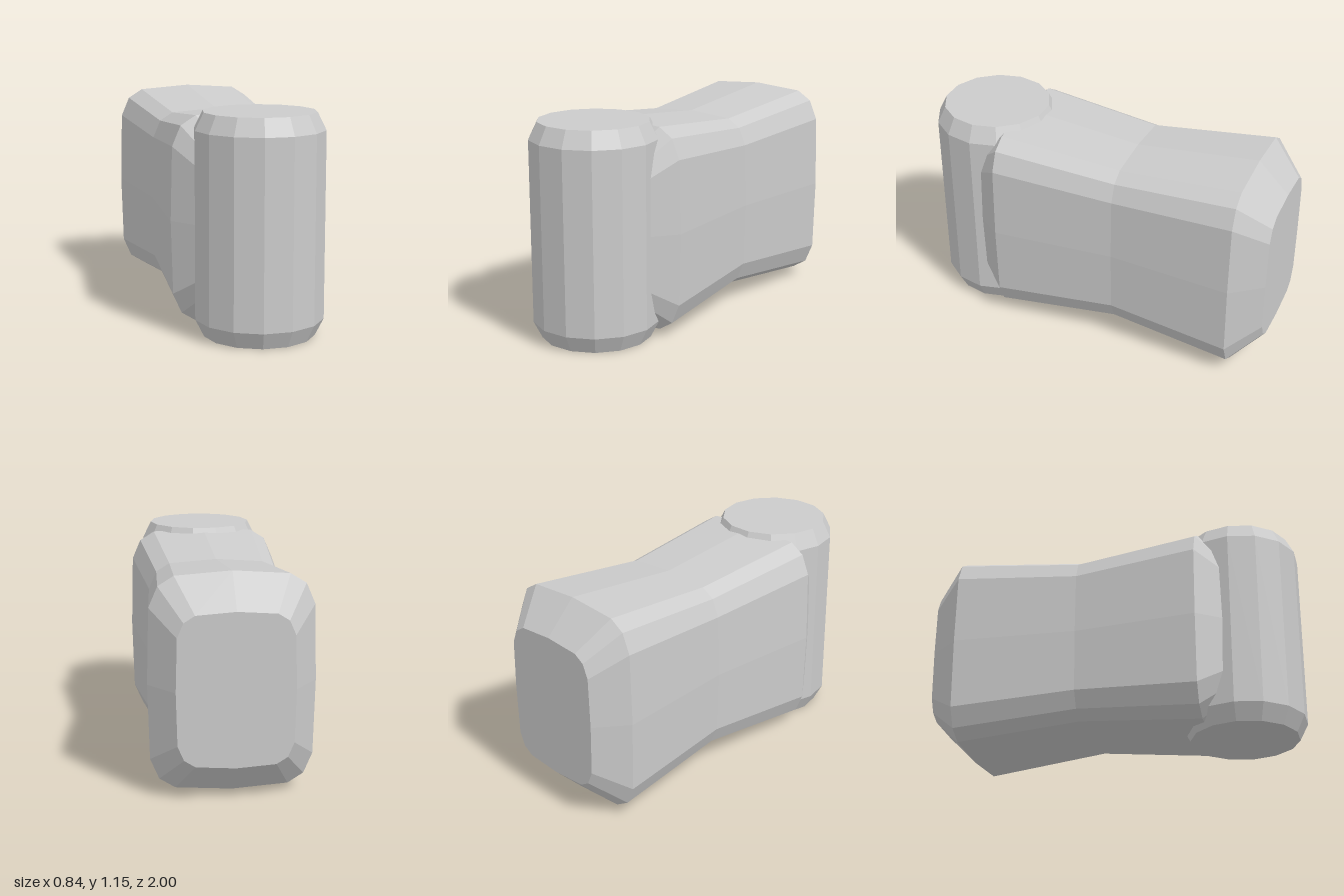
import * as THREE from 'three';

const MID_Y = 0.573;

// Closed rings of equal length joined into a capped, flat-shaded solid (rings run front to back).
function loft(rings) {
  const n = rings[0].length;
  const pos = rings.flat(2);
  const index = [];
  for (let r = 0; r < rings.length - 1; r++) {
    for (let i = 0; i < n; i++) {
      const a = r * n + i, b = r * n + (i + 1) % n;
      index.push(a, a + n, b, b, a + n, b + n);
    }
  }
  const last = (rings.length - 1) * n;
  for (let i = 1; i < n - 1; i++) {
    index.push(0, i, i + 1);
    index.push(last, last + i + 1, last + i);
  }
  const geo = new THREE.BufferGeometry();
  geo.setAttribute('position', new THREE.Float32BufferAttribute(pos, 3));
  geo.setIndex(index);
  const flat = geo.toNonIndexed();
  flat.computeVertexNormals();
  return flat;
}

export function createModel() {
  const group = new THREE.Group();
  const material = new THREE.MeshStandardMaterial({ color: 0xcccccc, flatShading: true });
  const add = (name, geometry) => {
    const mesh = new THREE.Mesh(geometry, material);
    mesh.name = name;
    group.add(mesh);
    return mesh;
  };

  // Waisted block: one quarter of its rounded outline, mirrored to a full counter-clockwise ring
  const quarter = [[0.42, 0], [0.41, 0.385], [0.365, 0.49], [0.285, 0.54], [0, 0.56]];
  const half = [...quarter, ...quarter.slice(0, -1).reverse().map(([x, y]) => [-x, y])];
  const outline = [...half, ...half.slice(1, -1).reverse().map(([x, y]) => [x, -y])];

  // Each station: z and outline scale, with bevelled ends and a narrow waist
  const stations = [[0.67, 0.7], [0.5, 1], [-0.165, 0.88], [-0.835, 1], [-1, 0.7]];
  add('body', loft(stations.map(([z, s]) =>
    outline.map(([x, y]) => [x * s, MID_Y + y * s, z]))));

  // Upright post with bevelled rims, a flat side facing forward
  const profile = [[0, 0], [0.29, 0], [0.335, 0.09], [0.335, 1.056], [0.29, 1.146], [0, 1.146]]
    .map(([r, y]) => new THREE.Vector2(r, y));
  const post = add('frontPost', new THREE.LatheGeometry(profile, 14, Math.PI / 14));
  post.position.z = 0.673;

  return group;
}
